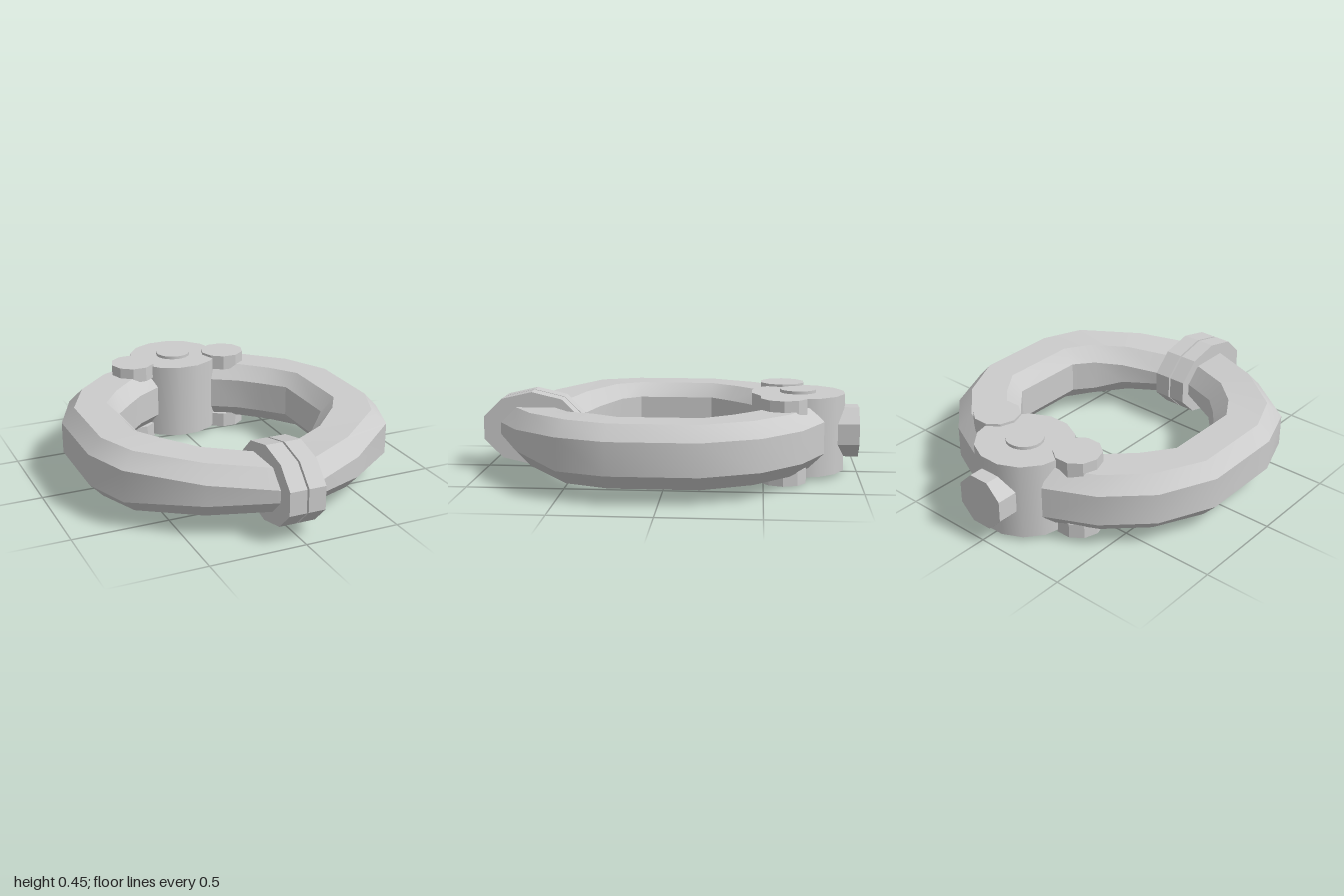
import * as THREE from 'three';
import { toCreasedNormals } from 'three/addons/utils/BufferGeometryUtils.js';

const MID = 0.227; // height of the ring's centre plane

// Stations of one half ring: outer x, z, inner x, z, half height, half height of side flat
const STATIONS = [
  [0.23, -0.81, 0.16, -0.50, 0.158, 0.083],
  [0.48, -0.69, 0.30, -0.41, 0.158, 0.083],
  [0.69, -0.49, 0.40, -0.31, 0.158, 0.083],
  [0.82, -0.20, 0.50, -0.20, 0.158, 0.083],
  [0.82, 0.25, 0.50, 0.21, 0.158, 0.083],
  [0.73, 0.50, 0.42, 0.31, 0.158, 0.083],
  [0.41, 0.76, 0.31, 0.43, 0.138, 0.055],
  [0.09, 0.91, 0.09, 0.53, 0.115, 0.032],
];

// Chamfered eight-sided section, from the outer side over the top to the inner side
function section([ox, oz, ix, iz, h, f]) {
  const outline = [[0, f], [0.22, h], [0.78, h], [1, f], [1, -f], [0.78, -h], [0.22, -h], [0, -f]];
  return outline.map(([t, y]) => [ox + (ix - ox) * t, MID + y, oz + (iz - oz) * t]);
}

// Loft through the stations; side is +1 or -1 for the mirrored half
function halfRing(side) {
  const rings = STATIONS.map(section);
  const pos = [];
  const tri = (a, b, c) => {
    for (const p of side > 0 ? [a, b, c] : [a, c, b]) pos.push(p[0] * side, p[1], p[2]);
  };
  for (let i = 0; i < rings.length - 1; i++) {
    for (let j = 0; j < 8; j++) {
      const k = (j + 1) % 8;
      tri(rings[i][j], rings[i][k], rings[i + 1][k]);
      tri(rings[i][j], rings[i + 1][k], rings[i + 1][j]);
    }
  }
  const first = rings[0], last = rings[rings.length - 1];
  for (let j = 1; j < 7; j++) {
    tri(first[0], first[j + 1], first[j]);
    tri(last[0], last[j], last[j + 1]);
  }
  const geo = new THREE.BufferGeometry();
  geo.setAttribute('position', new THREE.Float32BufferAttribute(pos, 3));
  return toCreasedNormals(geo, 0.55);
}

// Upright prism or cylinder with a flat side facing z
function prism(radius, height, sides) {
  return new THREE.CylinderGeometry(radius, radius, height, sides).rotateY(Math.PI / sides);
}

export function createModel() {
  const group = new THREE.Group();
  const smooth = new THREE.MeshStandardMaterial({ color: 0xcccccc });
  const flat = new THREE.MeshStandardMaterial({ color: 0xcccccc, flatShading: true });
  const add = (name, geo, mat, x = 0, y = 0, z = 0) => {
    const mesh = new THREE.Mesh(geo, mat);
    mesh.name = name;
    mesh.position.set(x, y, z);
    group.add(mesh);
  };

  // Hinge barrel with its pin
  add('hingeBarrel', prism(0.25, 0.41, 14), smooth, 0, 0.225, -0.68);
  add('hingePin', prism(0.096, 0.446, 20), smooth, 0, 0.223, -0.68);

  // Bolt at the back of the hinge
  add('rearBolt', prism(0.143, 0.16, 8).rotateX(Math.PI / 2), flat, 0, 0.227, -0.92);

  for (const side of [1, -1]) {
    const label = side > 0 ? 'left' : 'right';
    add(label + 'HalfRing', halfRing(side), smooth);

    // Collar at the closing ends
    const collar = prism(0.2755, 0.09, 10).rotateZ(Math.PI / 2).scale(1, 0.198 / 0.2755, 1);
    add(label + 'Collar', collar, flat, side * 0.05, MID, 0.738);

    // Pivot discs above and below the ring
    add(label + 'UpperPivot', prism(0.123, 0.08, 10), flat, side * 0.277, 0.403, -0.6);
    add(label + 'LowerPivot', prism(0.123, 0.08, 10), flat, side * 0.277, 0.047, -0.6);
  }
  return group;
}
